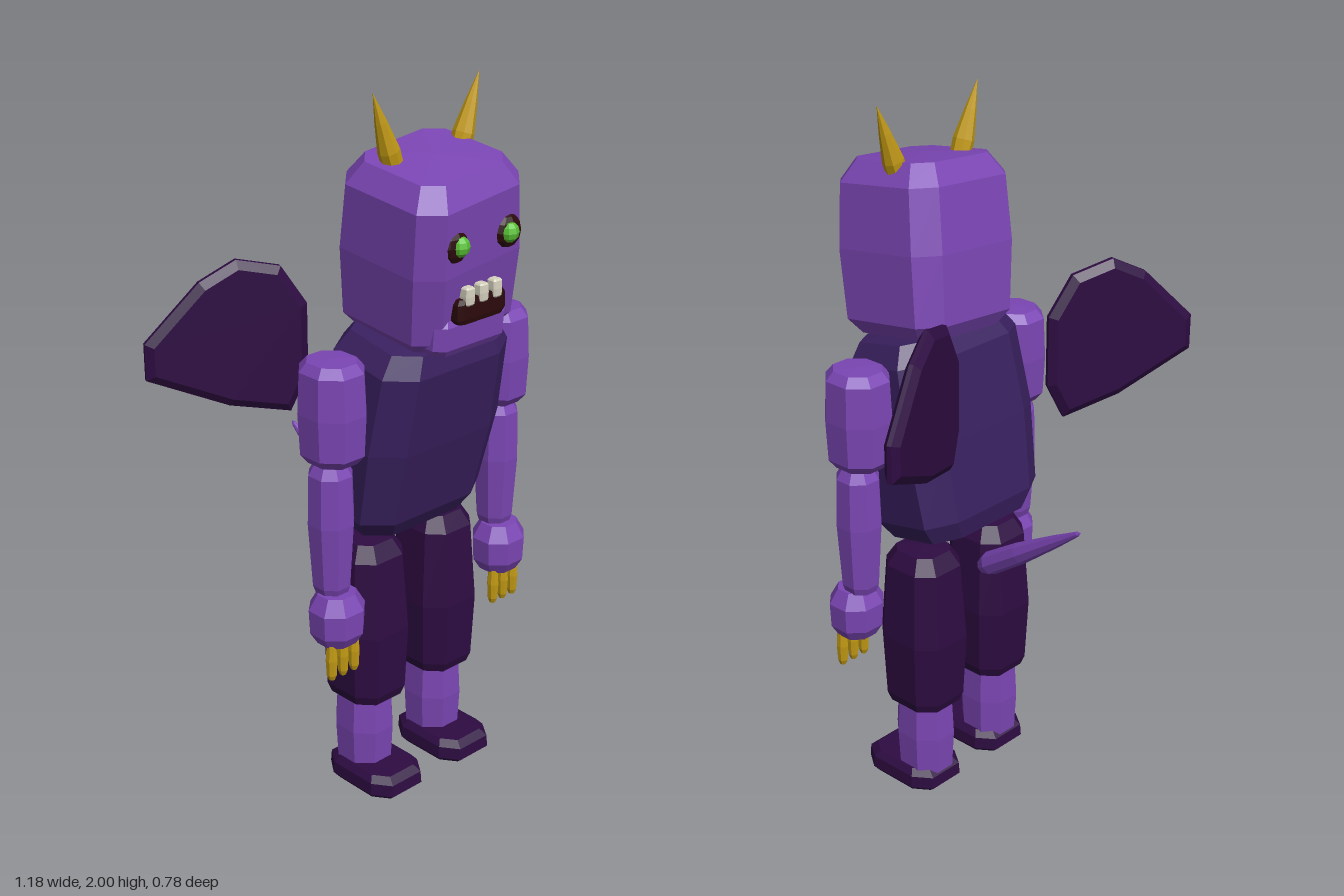
import * as THREE from 'three';

const mat = (name, color) => new THREE.MeshStandardMaterial({ name, color });

export function createModel() {
  const root = new THREE.Group();
  root.name = 'hornedCreature';
  const skin = mat('purple skin', 0x7b46b4);
  const chest = mat('dark violet torso', 0x39205f);
  const dark = mat('deep plum', 0x2e0c42);
  const gold = mat('horn gold', 0xc29a14);
  const maw = mat('dark maroon', 0x2c0a0c);
  const green = mat('eye green', 0x58c033);
  const bone = mat('tooth ivory', 0xd6d2c0);

  // Faceted look: every face gets its own normal
  const flat = (g) => {
    const f = g.index ? g.toNonIndexed() : g;
    f.computeVertexNormals();
    return f;
  };
  const add = (name, geometry, material, pos = [0, 0, 0], rot = [0, 0, 0]) => {
    const m = new THREE.Mesh(flat(geometry), material);
    m.name = name;
    m.position.set(...pos);
    m.rotation.set(...rot);
    root.add(m);
    return m;
  };

  // Eight-sided block: half sizes, corner cut, profile of [height, scale], domed ends
  const ROUND = 0.56;
  const SOFT = [[-1, 0.72], [-0.82, 0.94], [0, 1], [0.82, 0.94], [1, 0.72]];
  function block(a, h, b, cut, profile = SOFT, dome = 0.03) {
    const p = [], idx = [], k = 1 - cut;
    for (const [y, s] of profile) {
      for (const [x, z] of [[1, -k], [1, k], [k, 1], [-k, 1], [-1, k], [-1, -k], [-k, -1], [k, -1]]) {
        p.push(x * a * s, y * h, z * b * s);
      }
    }
    const n = profile.length, low = n * 8, high = low + 1, last = (n - 1) * 8;
    p.push(0, -h * (1 + dome), 0, 0, h * (1 + dome), 0);
    for (let i = 0; i < 8; i++) {
      const j = (i + 1) % 8;
      for (let r = 0; r < n - 1; r++) {
        const q = r * 8;
        idx.push(q + i, q + 8 + i, q + j, q + j, q + 8 + i, q + 8 + j);
      }
      idx.push(low, i, j, high, last + j, last + i);
    }
    const g = new THREE.BufferGeometry();
    g.setAttribute('position', new THREE.Float32BufferAttribute(p, 3));
    g.setIndex(idx);
    return g;
  }

  // Tapered spike from one point to another
  function spike(name, material, from, to, radii) {
    const a = new THREE.Vector3(...from), d = new THREE.Vector3(...to).sub(a);
    const pts = radii.map(([t, r]) => new THREE.Vector2(r, t * d.length()));
    const m = add(name, new THREE.LatheGeometry(pts, 8), material, from);
    m.quaternion.setFromUnitVectors(new THREE.Vector3(0, 1, 0), d.normalize());
  }

  // Torso leans forward; head tips a little to one side
  add('torso', block(0.242, 0.28, 0.152, 0.36,
    [[-1, 0.78], [-0.8, 0.93], [0, 1], [0.8, 0.95], [1, 0.8]]), chest, [0, 1.087, 0.1], [0.2, 0, 0]);
  add('head', block(0.198, 0.23, 0.182, 0.3,
    [[-1, 0.78], [-0.82, 0.95], [0, 1], [0.75, 0.95], [1, 0.75]]), skin, [0, 1.595, 0.17], [0.13, 0.05, 0.09]);
  add('jaw', block(0.128, 0.052, 0.115, 0.2,
    [[-1, 0.9], [-0.6, 1], [0.6, 1], [1, 0.9]]), skin, [0, 1.4, 0.222], [0.08, 0, 0]);

  // Face
  add('mouth', block(0.086, 0.033, 0.035, 0.2,
    [[-1, 0.9], [-0.6, 1], [0.6, 1], [1, 0.9]]), maw, [0, 1.463, 0.328]);
  for (const x of [-0.049, 0, 0.049]) {
    add('tooth', block(0.016, 0.024, 0.016, 0.3), bone, [x, 1.502, 0.353]);
  }
  for (const s of [-1, 1]) {
    add('eyeSocket', new THREE.SphereGeometry(0.044, 8, 6).scale(1, 1, 0.5), maw, [s * 0.095, 1.64, 0.352]);
    add('eye', new THREE.SphereGeometry(0.028, 8, 6), green, [s * 0.088, 1.64, 0.36]);
  }

  // Wing outline: distance out from the inner edge, height
  const wingOutline = [[0, 1.4], [0.07, 1.51], [0.19, 1.54], [0.29, 1.49],
    [0.44, 1.34], [0.44, 1.24], [0.22, 1.14], [0.05, 1.1], [0, 1.2]];

  for (const s of [-1, 1]) {
    // Horn
    spike('horn', gold, [s * 0.118, 1.81, 0.155], [s * 0.185, 2, 0.155],
      [[0, 0], [0, 0.028], [0.2, 0.029], [0.6, 0.016], [1, 0]]);

    // Arm
    add('upperArm', block(0.083, 0.138, 0.09, ROUND), skin, [s * 0.303, 1.198, 0.127]);
    add('forearm', block(0.058, 0.185, 0.06, ROUND,
      [[-1, 0.7], [-0.88, 0.82], [0.1, 1], [0.85, 0.94], [1, 0.7]]), skin, [s * 0.312, 0.868, 0.128]);
    add('hand', block(0.073, 0.073, 0.07, ROUND,
      [[-1, 0.7], [-0.55, 0.96], [0.4, 1], [1, 0.68]]), skin, [s * 0.312, 0.613, 0.147]);
    for (const x of [-0.04, 0, 0.04]) {
      add('claw', block(0.015, 0.06, 0.016, ROUND,
        [[-1, 0.5], [-0.75, 0.85], [0, 1], [0.8, 0.8], [1, 0.6]]), gold, [s * 0.312 + x, 0.502, 0.168]);
    }

    // Leg
    add('thigh', block(0.102, 0.242, 0.112, 0.45,
      [[-1, 0.82], [-0.88, 0.92], [-0.1, 1], [0.82, 0.86], [1, 0.62]]), dark, [s * 0.132, 0.522, 0.065]);
    add('shin', block(0.075, 0.115, 0.082, ROUND,
      [[-1, 0.93], [0, 1], [1, 0.93]]), skin, [s * 0.135, 0.175, 0.061]);
    add('foot', block(0.092, 0.035, 0.13, 0.4,
      [[-1, 0.85], [-0.5, 1], [0.5, 0.98], [1, 0.82]], 0.1), dark, [s * 0.135, 0.0385, 0.108]);

    // Wing sweeping outwards and back
    const shape = new THREE.Shape(wingOutline.map(([x, y]) => new THREE.Vector2(s * x, y)));
    const wing = new THREE.ExtrudeGeometry(shape, {
      depth: 0.012, bevelThickness: 0.015, bevelSize: 0.022, bevelOffset: -0.022, bevelSegments: 1,
    }).translate(0, 0, -0.006);
    add('wing', wing, dark, [s * 0.182, 0, -0.105], [0, s * 0.4, 0]);
  }

  // Tail rising behind
  spike('tail', skin, [0, 0.69, -0.04], [0, 0.92, -0.388],
    [[0, 0], [0, 0.022], [0.08, 0.034], [0.4, 0.031], [0.75, 0.018], [0.97, 0.007], [1, 0]]);

  return root;
}
